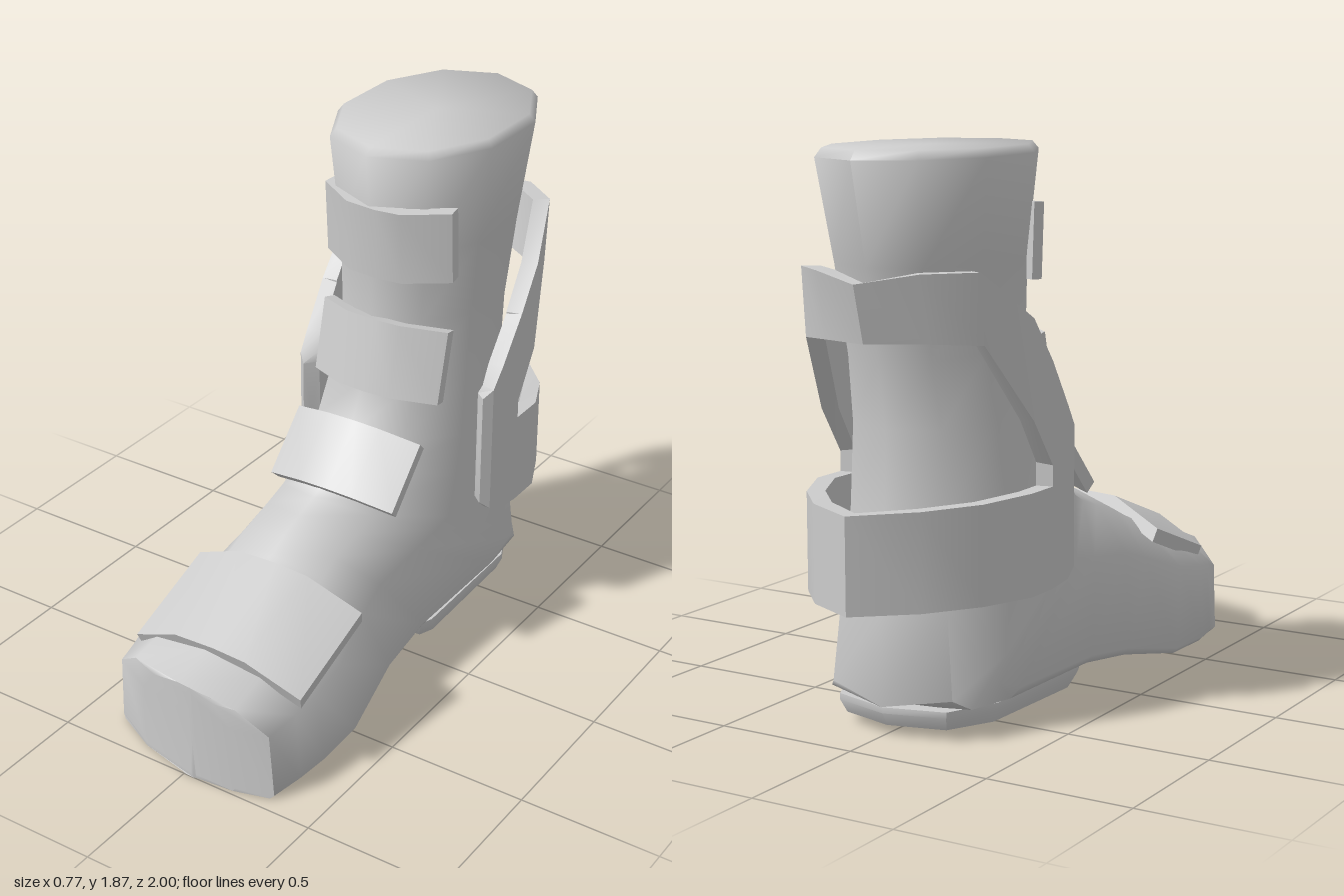
import * as THREE from 'three';
import { toCreasedNormals } from 'three/addons/utils/BufferGeometryUtils.js';

const material = new THREE.MeshStandardMaterial({ color: 0xcccccc });

// Skin a list of closed rings (arrays of [x, y, z]) and cap both ends.
function loft(rings, crease) {
  const n = rings[0].length;
  const pos = rings.flat();
  const index = [];
  for (let i = 0; i < rings.length - 1; i++) {
    for (let j = 0; j < n; j++) {
      const a = i * n + j, b = i * n + (j + 1) % n;
      index.push(a, a + n, b, b, a + n, b + n);
    }
  }
  [0, rings.length - 1].forEach((r, end) => {
    const mid = [0, 1, 2].map(k => rings[r].reduce((s, p) => s + p[k], 0) / n);
    const c = pos.push(mid) - 1;
    for (let j = 0; j < n; j++) {
      const a = r * n + j, b = r * n + (j + 1) % n;
      index.push(c, ...(end ? [b, a] : [a, b]));
    }
  });
  const geo = new THREE.BufferGeometry();
  geo.setAttribute('position', new THREE.Float32BufferAttribute(pos.flat(), 3));
  geo.setIndex(index);
  return toCreasedNormals(geo, crease);
}

function addMesh(parent, name, geo) {
  const mesh = new THREE.Mesh(geo, material);
  mesh.name = name;
  parent.add(mesh);
  return mesh;
}

// Ten-sided superellipse ring between an instep point and a heel/sole point.
function bootRing({ p, q, x, w, n = [2.1, 2.1], bow = 0 }) {
  const ring = [];
  for (let j = 0; j < 10; j++) {
    const a = j / 10 * Math.PI * 2, c = Math.cos(a), s = Math.sin(a);
    const e = 2 / (c > 0 ? n[0] : n[1]);
    const u = Math.sign(c) * Math.abs(c) ** e;
    const px = x + w * Math.sign(s) * Math.abs(s) ** e;
    const mix = k => (p[k] + q[k]) / 2 + (p[k] - q[k]) / 2 * u;
    ring.push([px, mix(1), mix(0) - bow * (px - 0.06) ** 2]);
  }
  return ring;
}

// Bent strap, arched across x and running down from its origin.
function strapGeometry(w, sag, thick, length) {
  const top = [[-w, -sag], [-0.42 * w, -0.01], [0.05 * w, 0], [0.42 * w, -0.01], [w, -sag]];
  const under = top.map(([x, d]) => [x * 0.97, d - thick]).reverse();
  const shape = new THREE.Shape([...top, ...under].map(([x, d]) => new THREE.Vector2(x, d)));
  const geo = new THREE.ExtrudeGeometry(shape, { depth: length, bevelEnabled: false });
  return toCreasedNormals(geo.rotateX(Math.PI / 2), 0.6);
}

// Band of rectangular section; columns are [x, z, yBottom, yTop, lean] on the outside.
function bandGeometry(columns, thick = 0.055) {
  const rings = columns.map(([x, z, y0, y1, lean = 0], i) => {
    const a = columns[Math.max(i - 1, 0)], b = columns[Math.min(i + 1, columns.length - 1)];
    const dx = b[0] - a[0], dz = b[1] - a[1], l = Math.hypot(dx, dz);
    const ix = x + dz / l * thick, iz = z - dx / l * thick;
    return [[x, y0, z + lean], [x, y1, z], [ix, y1, iz], [ix, y0, iz + lean]]
      .map(([vx, vy, vz]) => [vx + 0.01, vy, vz - 0.19 * vx]); // slight twist round the leg
  });
  return loft(rings, 0.5);
}

const mirrorX = columns => columns.map(([x, ...rest]) => [-x, ...rest]).reverse();

export function createModel() {
  const group = new THREE.Group();
  group.name = 'boot';

  // Boot body, from the cuff down the ankle and out to the toe
  const sections = [
    { p: [-0.07, 1.87], q: [-0.9, 1.865], x: 0.025, w: 0.3 },
    { p: [-0.045, 1.845], q: [-0.925, 1.835], x: 0.025, w: 0.32 },
    { p: [-0.07, 1.5], q: [-0.835, 1.5], x: 0.035, w: 0.28 },
    { p: [-0.08, 1.25], q: [-0.78, 1.2], x: 0.03, w: 0.265 },
    { p: [-0.045, 1.02], q: [-0.76, 0.98], x: 0.02, w: 0.28 },
    { p: [0.03, 0.84], q: [-0.785, 0.7], x: 0.01, w: 0.3 },
    { p: [0.1, 0.77], q: [-0.825, 0.4], x: 0, w: 0.315, n: [2.1, 2.4] },
    { p: [0.17, 0.7], q: [-0.835, 0.1], x: -0.005, w: 0.32, n: [2.1, 3.2] },
    { p: [0.22, 0.67], q: [-0.76, 0.09], x: -0.01, w: 0.315, n: [2.1, 7] },
    { p: [0.3, 0.635], q: [-0.55, 0.09], x: -0.015, w: 0.31, n: [2.1, 16] },
    { p: [0.38, 0.6], q: [-0.05, 0.09], x: -0.02, w: 0.31, n: [2, 20] },
    { p: [0.45, 0.56], q: [0.2, 0.06], x: -0.02, w: 0.325, n: [1.9, 20] },
    { p: [0.6, 0.49], q: [0.5, 0], x: -0.015, w: 0.37, n: [1.8, 25] },
    { p: [0.73, 0.445], q: [0.7, 0], x: -0.015, w: 0.375, n: [1.8, 25] },
    { p: [0.84, 0.41], q: [0.84, 0], x: -0.01, w: 0.36, n: [2, 25], bow: 0.2 },
    // Rounded toe face, closing towards its middle line
    { p: [1, 0.365], q: [1, 0], x: -0.015, w: 0.345, n: [2.4, 25], bow: 0.75 },
    { p: [1, 0.365], q: [1, 0], x: 0, w: 0.2, n: [2.4, 25], bow: 0.75 },
    { p: [1, 0.365], q: [1, 0], x: 0.04, w: 0.01, n: [2.4, 25], bow: 0.75 },
  ];
  addMesh(group, 'bootBody', loft(sections.map(bootRing), 1.1));

  // Heel block, narrowing slightly to the ground
  const heel = [
    { p: [-0.02, 0.1], q: [-0.835, 0.1], x: -0.01, w: 0.3, n: [12, 2.8] },
    { p: [-0.035, 0.07], q: [-0.835, 0.08], x: -0.01, w: 0.3, n: [12, 2.8] },
    { p: [-0.065, 0.025], q: [-0.81, 0.035], x: -0.01, w: 0.28, n: [12, 2.8] },
  ];
  addMesh(group, 'heel', loft(heel.map(bootRing), 0.7));

  // Closure straps up the front
  const straps = [
    { name: 'cuffStrap', low: [-0.06, 1.41], high: [-0.045, 1.665], x: 0.05, w: 0.25, sag: 0.1 },
    { name: 'shinStrap', low: [0.01, 1.01], high: [-0.05, 1.26], x: 0.05, w: 0.25, sag: 0.09 },
    { name: 'instepStrap', low: [0.215, 0.72], high: [0.04, 0.905], x: 0.03, w: 0.25, sag: 0.06 },
    { name: 'toeStrap', low: [0.86, 0.435], high: [0.5, 0.57], x: 0.015, w: 0.335, sag: 0.11 },
  ];
  for (const { name, low, high, x, w, sag } of straps) {
    const dz = high[0] - low[0], dy = high[1] - low[1];
    const strap = addMesh(group, name, strapGeometry(w, sag, 0.05, Math.hypot(dz, dy)));
    strap.position.set(x, high[1], high[0]);
    strap.rotation.x = Math.atan2(dz, dy);
  }

  // Ankle brace: side panels, heel band and the arch behind the calf
  const brace = new THREE.Group();
  brace.name = 'ankleBrace';
  group.add(brace);
  const panel = [[0.335, -0.245, 0.5, 0.92], [0.36, -0.27, 0.47, 0.95],
    [0.365, -0.32, 0.44, 1.02], [0.37, -0.43, 0.43, 1.18]];
  const bandSide = [[0.37, -0.43, 0.43, 0.77], [0.37, -0.56, 0.43, 0.77],
    [0.3, -0.73, 0.43, 0.76], [0.18, -0.88, 0.43, 0.755]];
  const archSide = [[0.37, -0.43, 0.84, 1.18], [0.365, -0.54, 1.0, 1.33],
    [0.3, -0.74, 1.26, 1.49, 0.02], [0.17, -0.86, 1.27, 1.49, 0.04]];
  addMesh(brace, 'leftPanel', bandGeometry(panel));
  addMesh(brace, 'rightPanel', bandGeometry(mirrorX(panel)));
  addMesh(brace, 'heelBand', bandGeometry([...bandSide, [0, -1, 0.43, 0.75], ...mirrorX(bandSide)]));
  addMesh(brace, 'calfArch', bandGeometry([...archSide, [0, -0.94, 1.27, 1.46, 0.05], ...mirrorX(archSide)]));

  return group;
}
